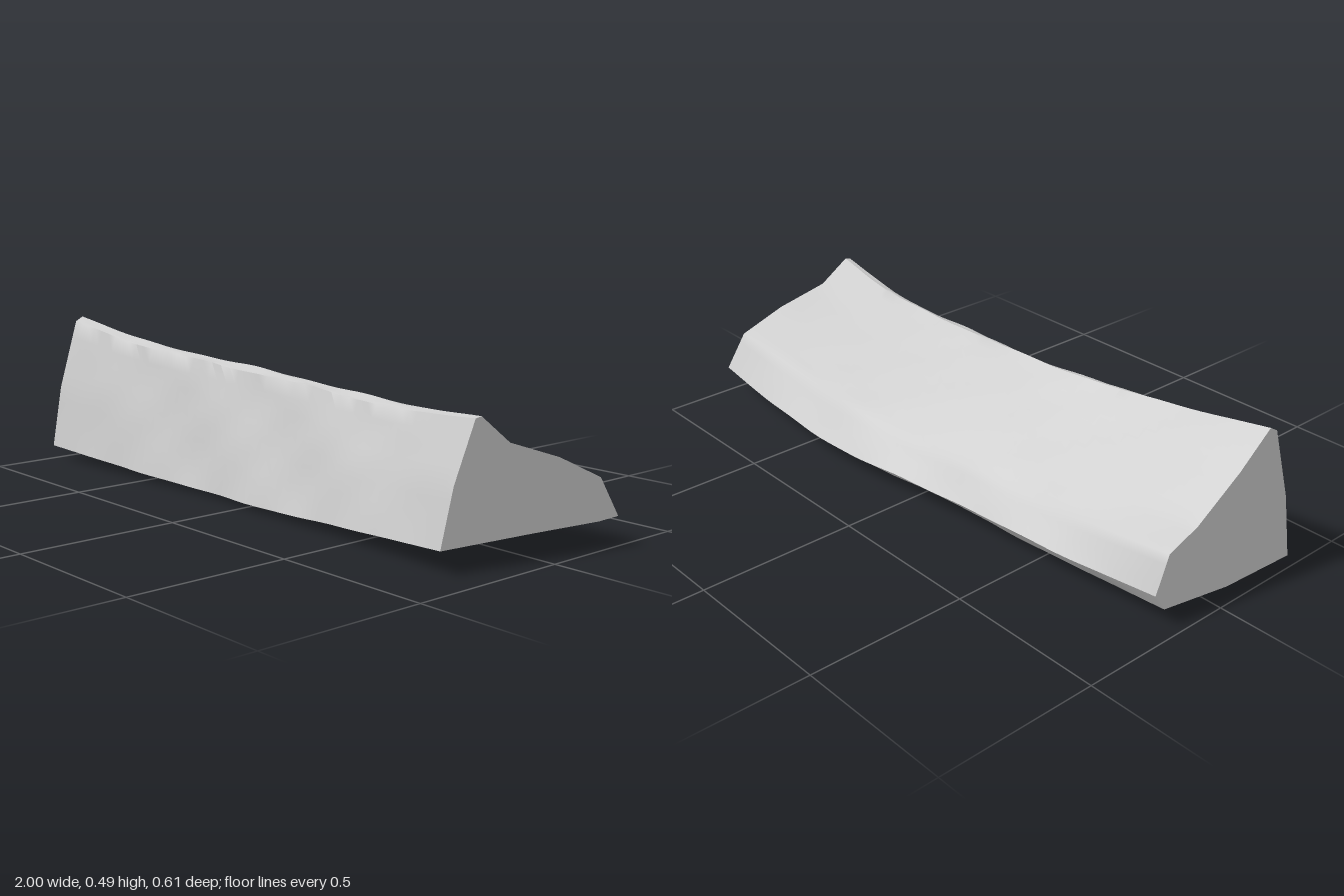
import * as THREE from 'three';
import { toCreasedNormals } from 'three/addons/utils/BufferGeometryUtils.js';

// Key cross-sections along the length as [z, y], running: front foot, front mid,
// ridge front, ridge back, three down the slope, back, under-back, bottom middle.
const SECTIONS = [
  { u: -1, p: [[.285, .045], [.25, .25], [.185, .475], [.16, .49], [.06, .39], [-.08, .275], [-.175, .225], [-.215, .11], [-.18, .055], [.05, .035]] },
  { u: -.62, p: [[.265, .03], [.22, .23], [.165, .425], [.14, .438], [.04, .355], [-.09, .255], [-.18, .18], [-.245, .09], [-.2, .04], [.04, .016]] },
  { u: -.2, p: [[.24, .018], [.19, .21], [.135, .4], [.11, .412], [.02, .335], [-.1, .24], [-.19, .165], [-.26, .075], [-.22, .035], [.03, .001]] },
  { u: .25, p: [[.247, .022], [.195, .21], [.14, .385], [.115, .396], [.02, .32], [-.11, .235], [-.22, .165], [-.305, .065], [-.27, .045], [.03, .012]] },
  { u: .65, p: [[.275, .045], [.225, .22], [.165, .375], [.14, .385], [.03, .305], [-.1, .235], [-.21, .18], [-.295, .07], [-.25, .055], [.03, .035]] },
  { u: 1, p: [[.307, .066], [.27, .23], [.208, .398], [.19, .402], [.1, .325], [-.06, .27], [-.2, .2], [-.265, .085], [-.2, .078], [.02, .074]] },
];
const ROWS = 48, SUB = 4;

// Both ends are cut at a slant, so x depends on depth as well as position along the block
function endX(u, z) {
  const left = -1 + .05 * (.285 - z) / .5;
  const right = .88 + .12 * (.307 - z) / .572;
  return THREE.MathUtils.lerp(left, right, (u + 1) / 2);
}

// Gentle hewn unevenness
const rough = (u, j) => .0035 * Math.sin(u * 11 + j * .7) + .002 * Math.sin(u * 23 - j * 1.3);

function wedgeGeometry() {
  const n = SECTIONS[0].p.length, ring = n * SUB;
  const rails = SECTIONS[0].p.map((_, k) => new THREE.CatmullRomCurve3(
    SECTIONS.map(s => new THREE.Vector3(s.u, s.p[k][1], s.p[k][0]))));
  const pos = [], index = [];

  // Cross-sections swept along the rails
  for (let i = 0; i <= ROWS; i++) {
    const pts = rails.map(r => r.getPoint(i / ROWS));
    for (let j = 0; j < ring; j++) {
      const k = Math.floor(j / SUB), f = (j % SUB) / SUB;
      const v = pts[k].clone().lerp(pts[(k + 1) % n], f);
      const d = rough(v.x, j) * Math.sin(Math.PI * i / ROWS);
      const y = Math.max(0, v.y + (k < 2 ? 0 : d * .7));
      pos.push(endX(v.x, v.z), y, v.z + (k < 2 ? d : 0));
    }
  }
  for (let i = 0; i < ROWS; i++) {
    for (let j = 0; j < ring; j++) {
      const a = i * ring + j, b = i * ring + (j + 1) % ring;
      index.push(a, a + ring, b, b, a + ring, b + ring);
    }
  }

  // End caps, fanned from their centres
  for (const row of [0, ROWS]) {
    const c = new THREE.Vector3(), start = row * ring, hub = pos.length / 3;
    for (let j = 0; j < ring; j++) c.add(new THREE.Vector3().fromArray(pos, (start + j) * 3));
    c.divideScalar(ring);
    pos.push(c.x, c.y, c.z);
    for (let j = 0; j < ring; j++) {
      const a = start + j, b = start + (j + 1) % ring;
      if (row === 0) index.push(hub, a, b);
      else index.push(hub, b, a);
    }
  }

  const g = new THREE.BufferGeometry();
  g.setAttribute('position', new THREE.Float32BufferAttribute(pos, 3));
  g.setIndex(index);
  return toCreasedNormals(g, .8);
}

export function createModel() {
  const group = new THREE.Group();
  group.name = 'wedgeBlock';
  const block = new THREE.Mesh(wedgeGeometry(), new THREE.MeshStandardMaterial({ color: 0xcccccc }));
  block.name = 'curvedWedge';
  group.add(block);
  return group;
}
